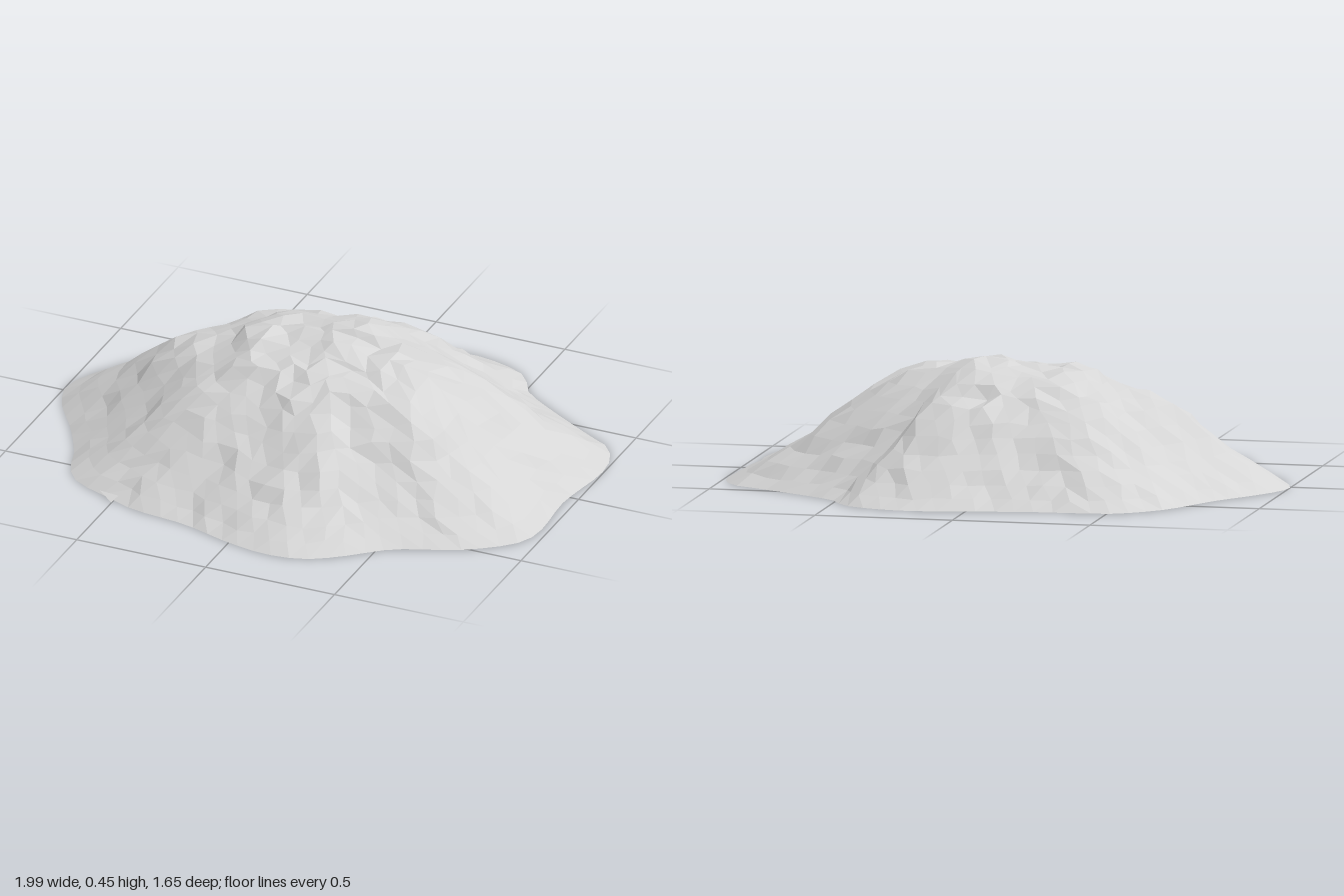
import * as THREE from 'three';

// Foot of the mound as x, z pairs, running from +x towards +z
const OUTLINE = [
  0.96, 0.05, 0.97, 0.2, 0.97, 0.3, 0.94, 0.38, 0.78, 0.51, 0.55, 0.61, 0.42, 0.72, 0.3, 0.8,
  0.16, 0.825, 0, 0.8, -0.2, 0.74, -0.42, 0.71, -0.52, 0.67, -0.68, 0.6, -0.74, 0.52, -0.77, 0.42,
  -0.86, 0.25, -0.96, 0.1, -1, -0.02, -0.98, -0.1, -0.91, -0.22, -0.81, -0.36, -0.67, -0.61,
  -0.52, -0.73, -0.42, -0.745, -0.2, -0.76, 0, -0.8, 0.2, -0.83, 0.3, -0.82, 0.45, -0.76,
  0.51, -0.66, 0.59, -0.6, 0.84, -0.45, 0.93, -0.4, 0.98, -0.32, 0.995, -0.2, 0.98, -0.1,
];

// Heights at equal steps from the crown to the foot, for four directions
const SLOPES = [
  [0.4, 0.4, 0.395, 0.395, 0.375, 0.32, 0.25, 0.175, 0.105, 0.045, 0], // +x
  [0.4, 0.4, 0.385, 0.36, 0.31, 0.255, 0.2, 0.145, 0.09, 0.04, 0], // +z
  [0.4, 0.4, 0.4, 0.38, 0.35, 0.32, 0.27, 0.19, 0.115, 0.055, 0], // -x
  [0.4, 0.405, 0.405, 0.385, 0.345, 0.305, 0.245, 0.175, 0.11, 0.05, 0], // -z
];

// Knolls on the crown: x, z, height, radius
const KNOLLS = [
  [0.1, -0.16, 0.035, 0.12],
  [0.07, 0, 0.03, 0.1],
  [-0.2, -0.06, 0.02, 0.1],
  [0.36, 0, 0.02, 0.1],
];

const RINGS = 14;

function slopeHeight(angle, t) {
  const quarter = ((angle / (Math.PI / 2)) + 4) % 4;
  const q = Math.floor(quarter);
  const step = Math.min(Math.floor(t * 10), 9);
  const at = (s) => THREE.MathUtils.lerp(s[step], s[step + 1], t * 10 - step);
  return THREE.MathUtils.lerp(at(SLOPES[q]), at(SLOPES[(q + 1) % 4]), quarter - q);
}

function knollHeight(x, z) {
  return KNOLLS.reduce((sum, [kx, kz, h, r]) => sum + h * Math.exp(-((x - kx) ** 2 + (z - kz) ** 2) / (r * r)), 0);
}

// Seeded generator for the rough facets
function seeded(seed) {
  return () => {
    seed = (seed * 1664525 + 1013904223) >>> 0;
    return (seed / 4294967296) * 2 - 1;
  };
}

// Disc of rings with six more corners each, so all facets are of like size
function moundGeometry() {
  const random = seeded(29);
  const points = [];
  for (let i = 0; i < OUTLINE.length; i += 2) points.push(new THREE.Vector3(OUTLINE[i], 0, OUTLINE[i + 1]));
  const rim = new THREE.CatmullRomCurve3(points, true, 'centripetal');

  const positions = [0, 0.4 + knollHeight(0, 0), 0];
  const indices = [];
  const corner = (r, k) => (r === 0 ? 0 : 1 + 3 * r * (r - 1) + (k % (6 * r)));
  for (let r = 1; r <= RINGS; r++) {
    const t = r / RINGS;
    // Roughest around the crown, calmer towards the foot
    const calm = THREE.MathUtils.smoothstep(t, 0.3, 0.85);
    const rough = THREE.MathUtils.lerp(0.014, 0.005, calm);
    const sideways = THREE.MathUtils.lerp(0.02, 0.01, calm);
    for (let k = 0; k < 6 * r; k++) {
      const p = rim.getPointAt(k / (6 * r));
      if (r === RINGS) {
        positions.push(p.x, 0, p.z);
        continue;
      }
      const x = p.x * t + random() * sideways;
      const z = p.z * t + random() * sideways;
      positions.push(x, slopeHeight(Math.atan2(p.z, p.x), t) + knollHeight(x, z) + random() * rough, z);
    }
    // Stitch this ring to the one inside it, in six sectors
    for (let sector = 0; sector < 6; sector++) {
      for (let j = 0; j < r; j++) {
        const outer = sector * r + j;
        const inner = sector * (r - 1) + j;
        indices.push(corner(r - 1, inner), corner(r, outer + 1), corner(r, outer));
        if (j < r - 1) indices.push(corner(r - 1, inner), corner(r - 1, inner + 1), corner(r, outer + 1));
      }
    }
  }
  const geometry = new THREE.BufferGeometry();
  geometry.setAttribute('position', new THREE.Float32BufferAttribute(positions, 3));
  geometry.setIndex(indices);
  const faceted = geometry.toNonIndexed();
  faceted.computeVertexNormals();
  return faceted;
}

export function createModel() {
  const group = new THREE.Group();
  group.name = 'rockMound';
  const stone = new THREE.MeshStandardMaterial({ color: 0xd6d6d6, flatShading: true, side: THREE.DoubleSide });
  stone.name = 'pale grey stone';

  // Open-bottomed shell
  const mound = new THREE.Mesh(moundGeometry(), stone);
  mound.name = 'moundShell';
  group.add(mound);

  // Small chip sticking out at the foot
  const chipShape = new THREE.BufferGeometry();
  chipShape.setAttribute('position', new THREE.Float32BufferAttribute(
    [-0.5, 0.002, 0.7, -0.49, 0.012, 0.66, -0.57, 0.008, 0.645], 3));
  chipShape.computeVertexNormals();
  const chip = new THREE.Mesh(chipShape, stone);
  chip.name = 'footChip';
  group.add(chip);
  return group;
}
